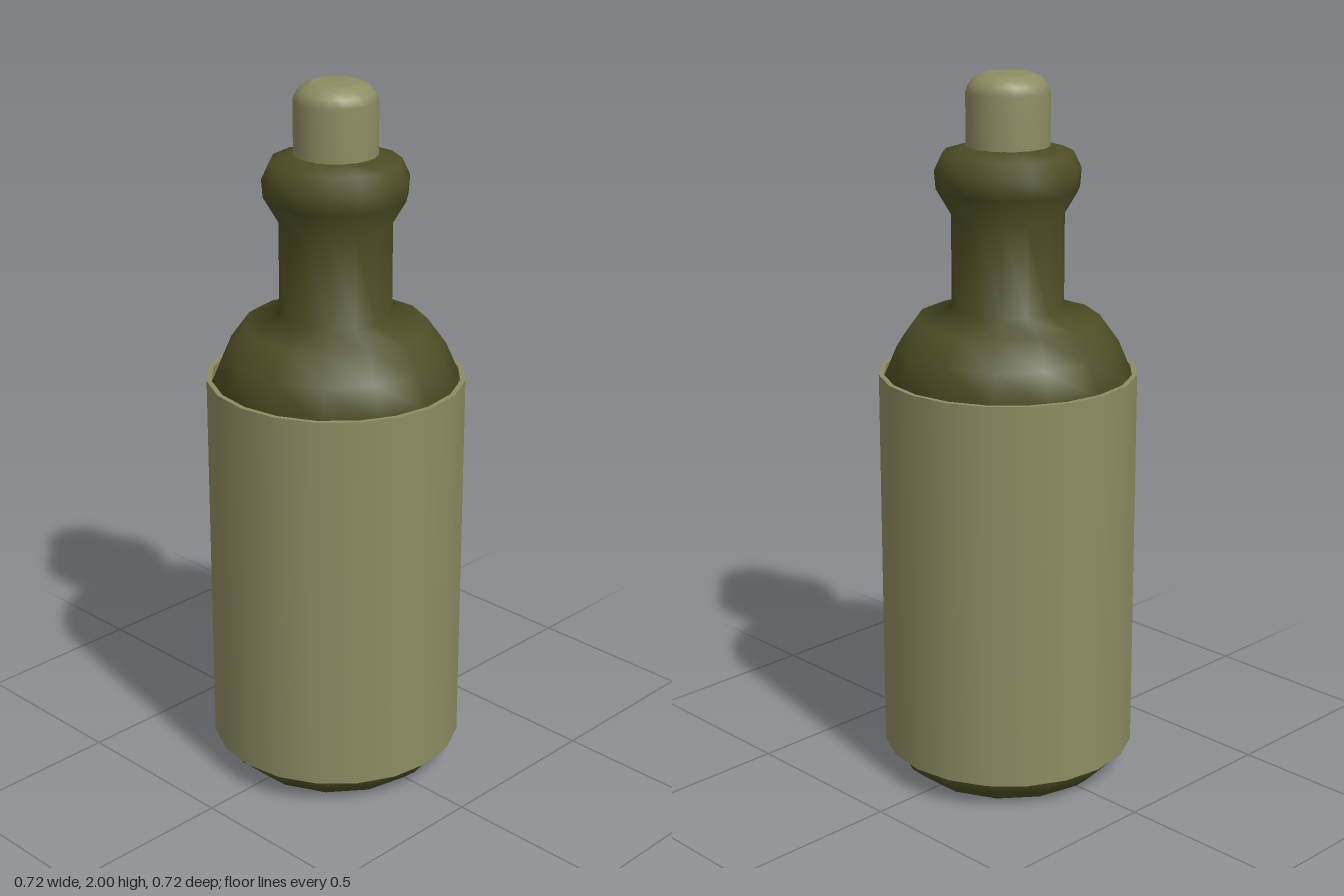
import * as THREE from 'three';

const glass = new THREE.MeshStandardMaterial({ color: 0x4d4c24 });
glass.name = 'dark olive glass';
const pale = new THREE.MeshStandardMaterial({ color: 0x8d8c62 });
pale.name = 'pale olive';

// Turned part: each profile is smooth in itself, with a crisp edge to the next
function turned(name, material, segments, profiles) {
  const group = new THREE.Group();
  group.name = name;
  profiles.forEach((profile, i) => {
    const points = profile.map(([r, y]) => new THREE.Vector2(r, y));
    const mesh = new THREE.Mesh(new THREE.LatheGeometry(points, segments), material);
    mesh.name = `${name}Surface${i + 1}`;
    group.add(mesh);
  });
  return group;
}

export function createModel() {
  const model = new THREE.Group();
  model.name = 'bottle';

  // Glass body: base, rounded heel, shoulder, neck and lip
  model.add(turned('body', glass, 14, [
    [[0, 0], [0.277, 0]],
    [[0.277, 0], [0.32, 0.037], [0.344, 0.085], [0.344, 1.17], [0.308, 1.255],
      [0.254, 1.33], [0.155, 1.362], [0.155, 1.62], [0.196, 1.69],
      [0.2, 1.74], [0.178, 1.787], [0.115, 1.806], [0, 1.806]],
  ]));

  // Label sleeve with visible thickness
  const inner = 0.345, outer = 0.359, low = 0.08, high = 1.18;
  model.add(turned('label', pale, 20, [
    [[outer, low], [outer, high]],
    [[outer, high], [inner, high]],
    [[inner, high], [inner, low]],
    [[inner, low], [outer, low]],
  ]));

  // Stopper with a rounded top
  model.add(turned('stopper', pale, 20, [
    [[0.115, 1.79], [0.115, 1.95], [0.105, 1.972], [0.088, 1.988], [0.067, 1.997]],
    [[0.067, 1.997], [0, 2]],
  ]));

  return model;
}
